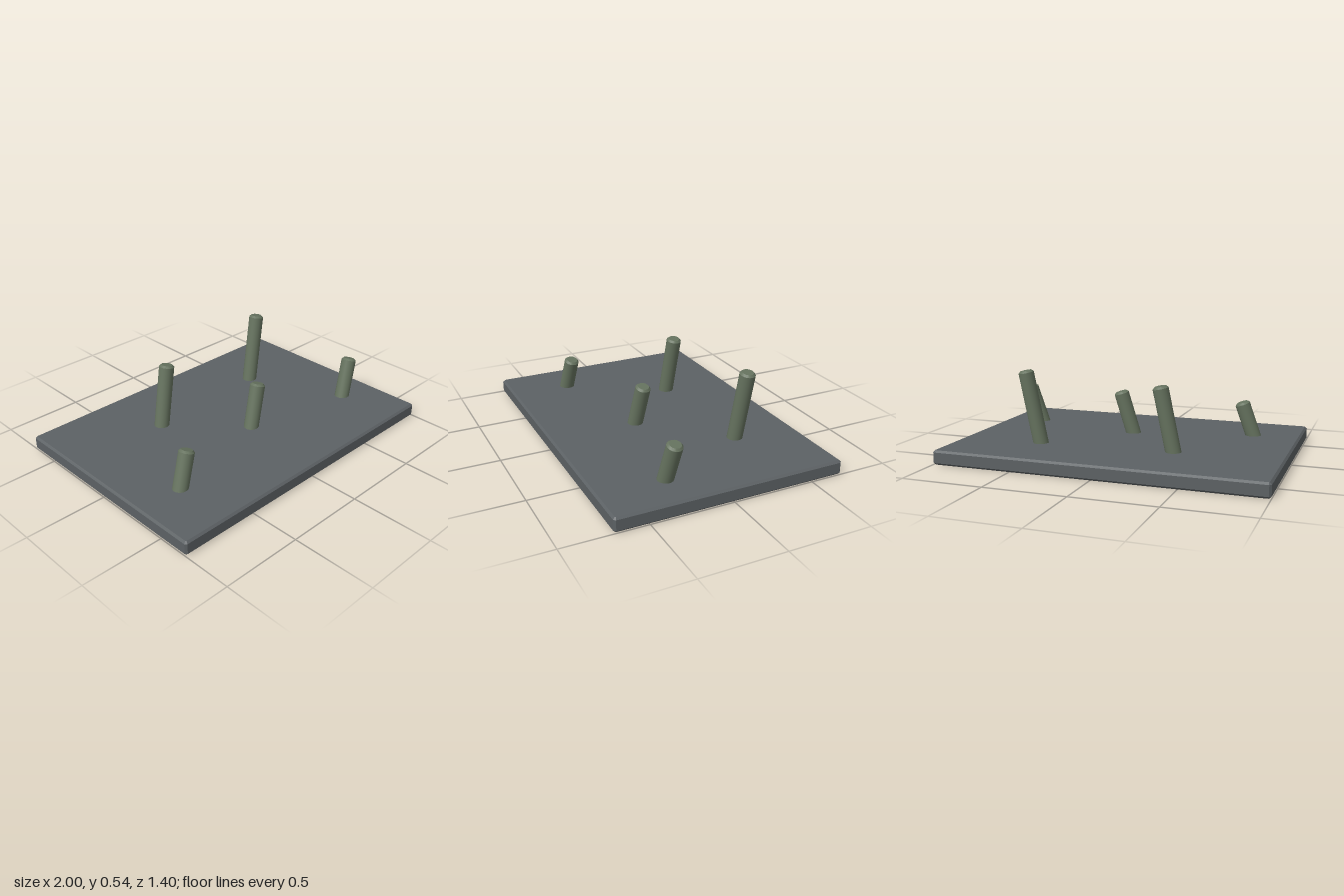
import * as THREE from 'three';
import { toCreasedNormals } from 'three/addons/utils/BufferGeometryUtils.js';

const WIDTH = 2, DEPTH = 1.4, THICK = 0.088, CHAMFER = 0.012;
const PEG_RADIUS = 0.047;

const plateMaterial = new THREE.MeshStandardMaterial({ color: 0x5c6164 });
const pegMaterial = new THREE.MeshStandardMaterial({ color: 0x66735f });

// Flat slab with every edge chamfered
function createPlate() {
  const x = WIDTH / 2, z = DEPTH / 2, c = CHAMFER;
  const outline = new THREE.Shape([
    [x - c, -z], [x, -z + c], [x, z - c], [x - c, z],
    [-x + c, z], [-x, z - c], [-x, -z + c], [-x + c, -z],
  ].map(([a, b]) => new THREE.Vector2(a, b)));
  const geometry = new THREE.ExtrudeGeometry(outline, {
    depth: THICK - 2 * c,
    bevelEnabled: true, bevelSegments: 1,
    bevelSize: c, bevelThickness: c, bevelOffset: -c,
  });
  geometry.translate(0, 0, c).rotateX(-Math.PI / 2);
  const plate = new THREE.Mesh(geometry, plateMaterial);
  plate.name = 'basePlate';
  return plate;
}

// Leaning round peg with a chamfered tip, its foot sunk into the plate
function createPeg(base, tip) {
  const axis = tip.clone().sub(base);
  const length = axis.length(), r = PEG_RADIUS, c = CHAMFER;
  const profile = [
    [0, -0.04], [r, -0.04], [r, length - c], [r - c, length], [0, length],
  ].map(([a, b]) => new THREE.Vector2(a, b));
  const geometry = toCreasedNormals(new THREE.LatheGeometry(profile, 20), 0.5);
  const peg = new THREE.Mesh(geometry, pegMaterial);
  peg.position.copy(base);
  peg.quaternion.setFromUnitVectors(new THREE.Vector3(0, 1, 0), axis.normalize());
  return peg;
}

export function createModel() {
  const model = new THREE.Group();
  model.name = 'pegBoard';
  model.add(createPlate());

  // Foot x, foot z, tip x, tip height, tip z
  const pegs = [
    ['frontRightPeg', -0.707, 0.326, -0.635, 0.300, 0.307],
    ['backRightPeg', -0.350, -0.259, -0.273, 0.476, -0.279],
    ['centrePeg', 0.039, 0.147, 0.115, 0.356, 0.125],
    ['backLeftPeg', 0.482, -0.304, 0.563, 0.532, -0.325],
    ['frontLeftPeg', 0.756, 0.295, 0.832, 0.330, 0.275],
  ];
  for (const [name, bx, bz, tx, ty, tz] of pegs) {
    const peg = createPeg(new THREE.Vector3(bx, THICK, bz), new THREE.Vector3(tx, ty, tz));
    peg.name = name;
    model.add(peg);
  }
  return model;
}
